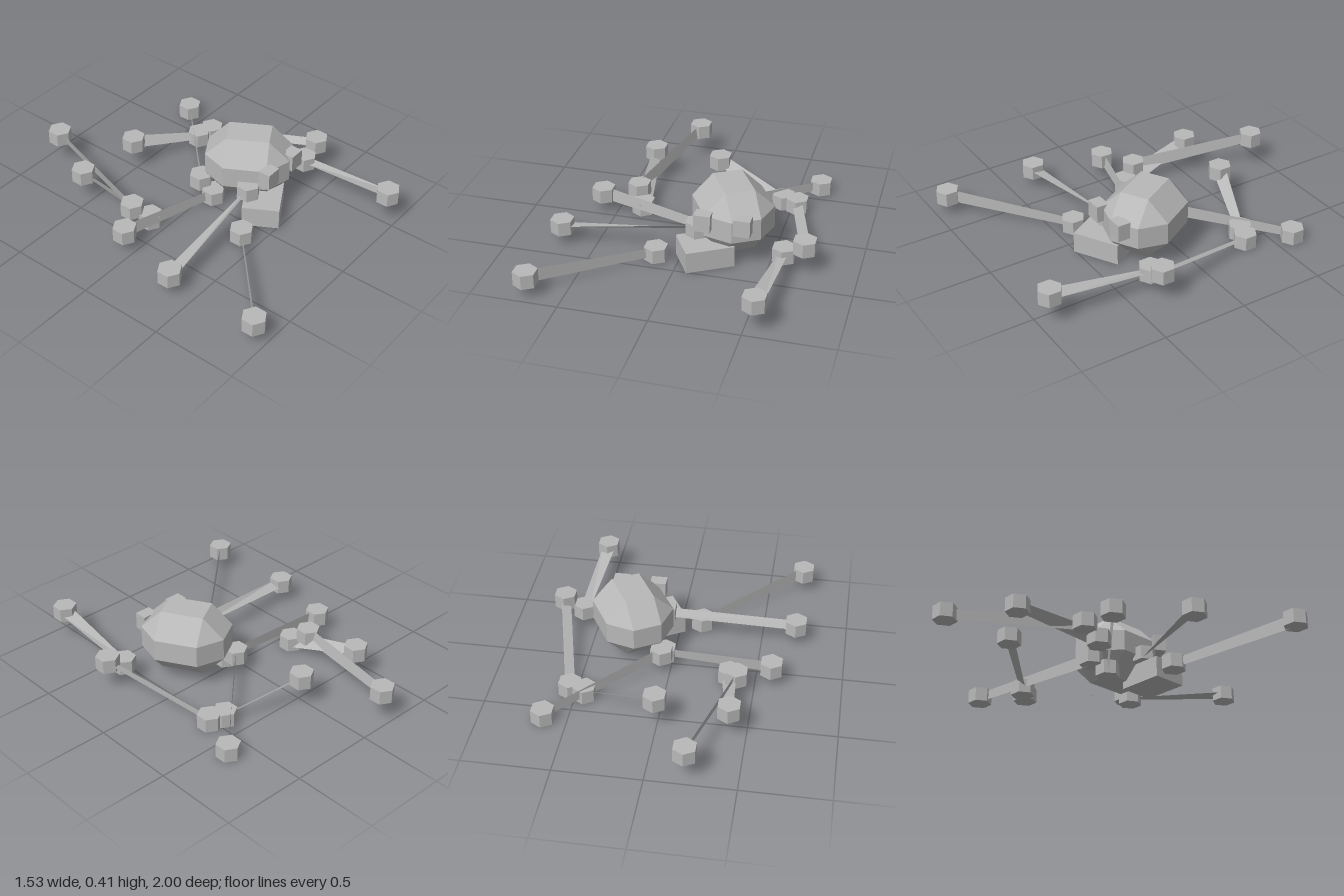
import * as THREE from 'three';
import { ConvexGeometry } from 'three/addons/geometries/ConvexGeometry.js';

const LOW = 0.0415, MID = 0.105, HIGH = 0.168; // joint centre heights
const TURN = Math.PI / 6; // heading of the body

// Box with every edge and corner cut flat
function chamferedBox(hx, hy, hz, cut) {
  const points = [];
  for (const sx of [-1, 1]) for (const sy of [-1, 1]) for (const sz of [-1, 1]) {
    points.push(new THREE.Vector3(sx * hx, sy * (hy - cut), sz * (hz - cut)));
    points.push(new THREE.Vector3(sx * (hx - cut), sy * hy, sz * (hz - cut)));
    points.push(new THREE.Vector3(sx * (hx - cut), sy * (hy - cut), sz * hz));
  }
  return new ConvexGeometry(points);
}

// Tapered, twisted flat strip between two joints
function strip(a, b, widthA, widthB, rollA, rollB) {
  const dir = b.clone().sub(a).normalize();
  const side = dir.clone().cross(new THREE.Vector3(0, 1, 0)).normalize();
  const up = side.clone().cross(dir);
  const corners = [[a, widthA, rollA], [b, widthB, rollB]].flatMap(([p, w, roll]) => {
    const r = THREE.MathUtils.degToRad(roll);
    const across = side.clone().multiplyScalar(Math.cos(r)).addScaledVector(up, Math.sin(r));
    return [p.clone().addScaledVector(across, -w / 2), p.clone().addScaledVector(across, w / 2)];
  });
  const geo = new THREE.BufferGeometry().setFromPoints([0, 1, 2, 1, 3, 2].map(i => corners[i]));
  geo.computeVertexNormals();
  return geo;
}

export function createModel() {
  const model = new THREE.Group();
  const grey = new THREE.MeshStandardMaterial({ color: 0xb8b8b8, flatShading: true, side: THREE.DoubleSide });
  grey.name = 'grey';

  function add(name, geometry, x = 0, y = 0, z = 0, turn = 0, parent = model) {
    const mesh = new THREE.Mesh(geometry, grey);
    mesh.name = name;
    mesh.position.set(x, y, z);
    mesh.rotation.y = turn;
    parent.add(mesh);
  }

  // Faceted body and low block, both turned the same way
  add('body', chamferedBox(0.206, 0.185, 0.246, 0.121), 0.255, 0.23, 0.15, TURN);
  add('head', new THREE.BoxGeometry(0.28, 0.125, 0.215), 0.141, 0.0625, 0.345, TURN);

  // Small eye blocks
  for (const s of [-1, 1]) {
    add(s > 0 ? 'leftEye' : 'rightEye', new THREE.BoxGeometry(0.095, 0.1, 0.075), 0.25 + s * 0.112, 0.272, 0.38);
  }

  // Legs: two joints [x, y, z], end widths, end rolls in degrees
  const legs = [
    [[-0.705, MID, 0.915], [-0.13, LOW, 0.395], 0.08, 0.055, 90, 90],
    [[-0.59, MID, -0.075], [0.05, LOW, 0.05], 0.08, 0.055, -83, -83],
    [[0.055, MID, -0.045], [0.635, LOW, -0.605], 0.08, 0.055, 90, 90],
    [[-0.70, MID, 0.345], [0.08, HIGH, 0.28], 0.08, 0.055, 8, 45],
    [[-0.21, HIGH, -0.93], [-0.40, MID, -0.185], 0.06, 0.08, 78, 78],
    [[0.55, HIGH, 0.925], [0.585, MID, 0.325], 0.085, 0.055, -10, 10],
    [[-0.40, HIGH, -0.56], [-0.35, LOW, -0.095], 0.06, 0.1, 35, 35],
    [[0.015, HIGH, -0.535], [0.445, LOW, -0.375], 0.08, 0.05, -35, -35],
    [[0.535, LOW, -0.345], [0.70, HIGH, 0.325], 0.06, 0.06, -20, -20],
  ];
  const jointShape = new THREE.CylinderGeometry(0.07, 0.07, 0.083, 6);
  legs.forEach(([a, b, ...shape], i) => {
    const leg = new THREE.Group();
    leg.name = `leg${i + 1}`;
    add('firstJoint', jointShape, ...a, 0, leg);
    add('secondJoint', jointShape, ...b, 0, leg);
    add('link', strip(new THREE.Vector3(...a), new THREE.Vector3(...b), ...shape), 0, 0, 0, 0, leg);
    model.add(leg);
  });

  return model;
}
